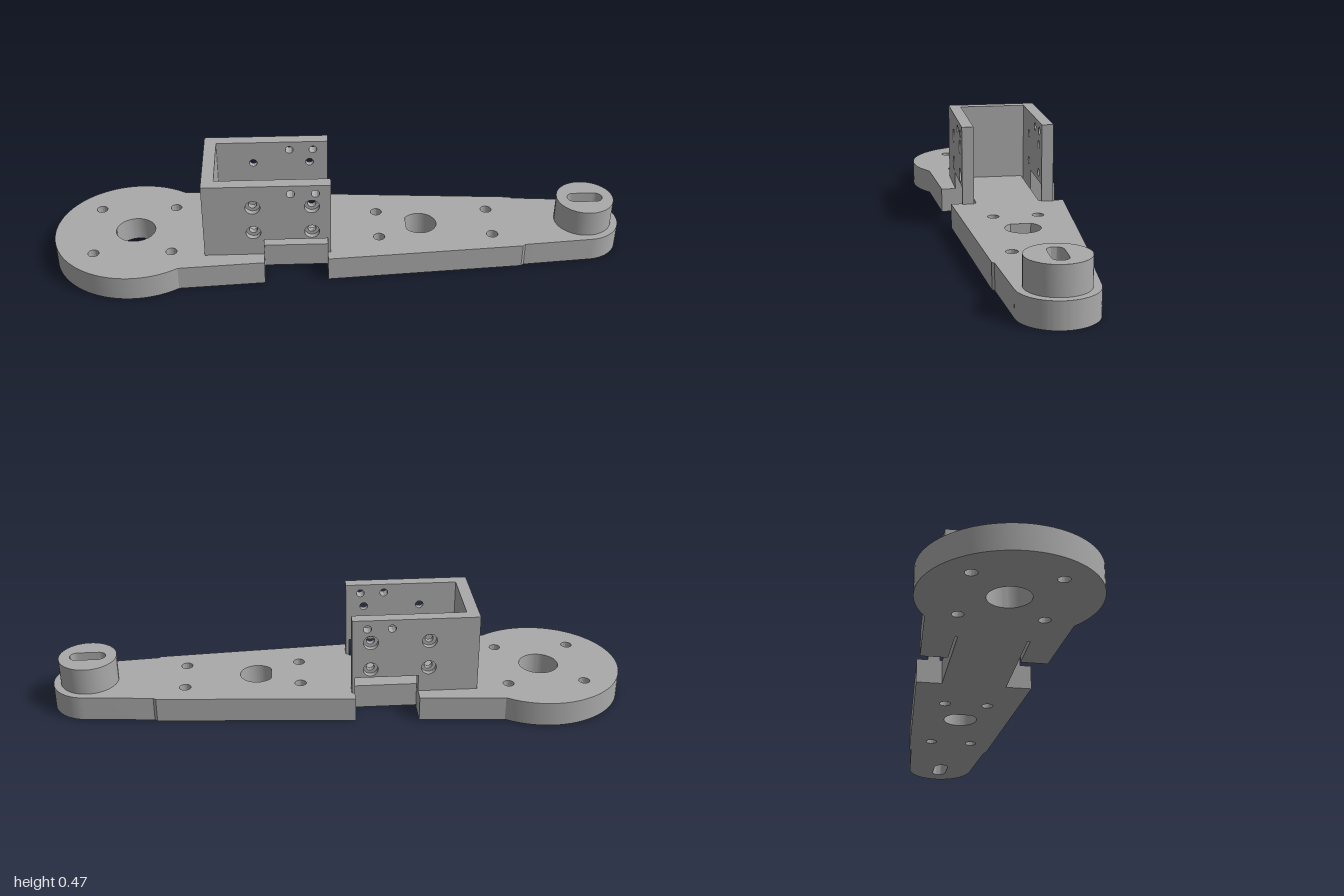
import * as THREE from 'three';
import { toCreasedNormals } from 'three/addons/utils/BufferGeometryUtils.js';

const PLATE = 0.112;          // plate thickness
const TOP = 0.472;            // top of the bracket walls
const BIG = { x: -0.892, r: 0.368 };
const TIP = { x: 1.182, r: 0.163 };

function circle(x, y, r) {
  const p = new THREE.Path();
  p.absarc(x, y, r, 0, Math.PI * 2, true);
  return p;
}

// Rounded slot running along the arm
function slot(x, half, r) {
  const p = new THREE.Path();
  p.absarc(x + half, 0, r, -Math.PI / 2, Math.PI / 2, false);
  p.absarc(x - half, 0, r, Math.PI / 2, Math.PI * 1.5, false);
  p.closePath();
  return p;
}

function extrude(shape, depth) {
  const g = new THREE.ExtrudeGeometry(shape, { depth, bevelEnabled: false, curveSegments: 32 });
  return toCreasedNormals(g, 0.5);
}

// Extrusion laid flat so that it rises from height y
function slab(shape, y, depth) {
  return extrude(shape, depth).rotateX(-Math.PI / 2).translate(0, y, 0);
}

// Arm outline: round base, notched middle with narrow slits, tapered round tip
function armShape() {
  const side = [
    [-0.682, 0.303], [-0.298, 0.277], [-0.298, 0.157], [-0.51, 0.157], [-0.51, 0.146],
    [-0.014, 0.146], [-0.014, 0.262], [0.872, 0.199], [0.884, 0.189], [1.195, 0.1625],
  ];
  const s = new THREE.Shape();
  const a = Math.atan2(side[0][1], side[0][0] - BIG.x);
  const b = Math.atan2(0.1625, 0.013);
  s.absarc(BIG.x, 0, BIG.r, a, Math.PI * 2 - a, false);
  side.slice(1).forEach(([x, y]) => s.lineTo(x, -y));
  s.absarc(TIP.x, 0, TIP.r, -b, b, false);
  side.slice(1, -1).reverse().forEach(([x, y]) => s.lineTo(x, y));
  s.closePath();

  // Base bore and its four bolt holes
  s.holes.push(circle(BIG.x, 0, 0.09));
  for (let i = 0; i < 4; i++) {
    const t = Math.PI / 4 + i * Math.PI / 2;
    s.holes.push(circle(BIG.x + 0.247 * Math.cos(t), 0.247 * Math.sin(t), 0.025));
  }
  // Bolt holes of the tapered part
  for (const x of [0.225, 0.746]) for (const y of [-0.1, 0.1]) s.holes.push(circle(x, y, 0.026));
  // Bore with one flat side
  const flat = Math.acos(-0.064 / 0.078);
  const bore = new THREE.Path();
  bore.absarc(0.42, 0, 0.078, -flat, flat, false);
  bore.closePath();
  s.holes.push(bore, slot(TIP.x, 0.047, 0.034));
  return s;
}

// Bracket side wall with a low cut-out; the mounting holes take radius r
function wallShape(r) {
  const s = new THREE.Shape();
  [[-0.566, PLATE], [-0.298, PLATE], [-0.298, 0.19], [-0.014, 0.19], [-0.014, PLATE], [0, PLATE], [0, TOP], [-0.566, TOP]]
    .forEach(([x, y], i) => (i ? s.lineTo(x, y) : s.moveTo(x, y)));
  s.closePath();
  for (const x of [-0.344, -0.084]) for (const y of [0.23, 0.363]) s.holes.push(circle(x, y, r));
  for (const x of [-0.177, -0.068]) s.holes.push(circle(x, 0.43, 0.018));
  return s;
}

export function createModel() {
  const model = new THREE.Group();
  model.name = 'servoArm';
  const grey = new THREE.MeshStandardMaterial({ color: 0xaaaaaa });
  grey.name = 'grey';
  const arm = new THREE.Group();
  arm.name = 'arm';
  arm.rotation.y = Math.PI / 4;
  model.add(arm);

  const add = (name, geometry) => {
    const mesh = new THREE.Mesh(geometry, grey);
    mesh.name = name;
    arm.add(mesh);
    return mesh;
  };

  add('armPlate', slab(armShape(), 0, PLATE));

  // Slotted boss on the tip
  const boss = new THREE.Shape();
  boss.absarc(TIP.x, 0, 0.13, 0, Math.PI * 2, false);
  boss.holes.push(slot(TIP.x, 0.047, 0.034));
  add('tipBoss', slab(boss, PLATE, 0.123));

  // Bracket walls: inner layer with through holes, outer layer with counterbores
  const layers = [
    { name: 'WallInner', z: 0.157, depth: 0.028, r: 0.018 },
    { name: 'WallOuter', z: 0.185, depth: 0.026, r: 0.033 },
  ];
  for (const side of [1, -1]) {
    for (const { name, z, depth, r } of layers) {
      const wall = add((side > 0 ? 'left' : 'right') + name, extrude(wallShape(r), depth));
      wall.position.z = side > 0 ? z : -z - depth;
    }
  }
  const back = add('bracketEndWall', new THREE.BoxGeometry(0.055, TOP - PLATE, 0.422));
  back.position.set(-0.5385, (TOP + PLATE) / 2, 0);

  return model;
}
